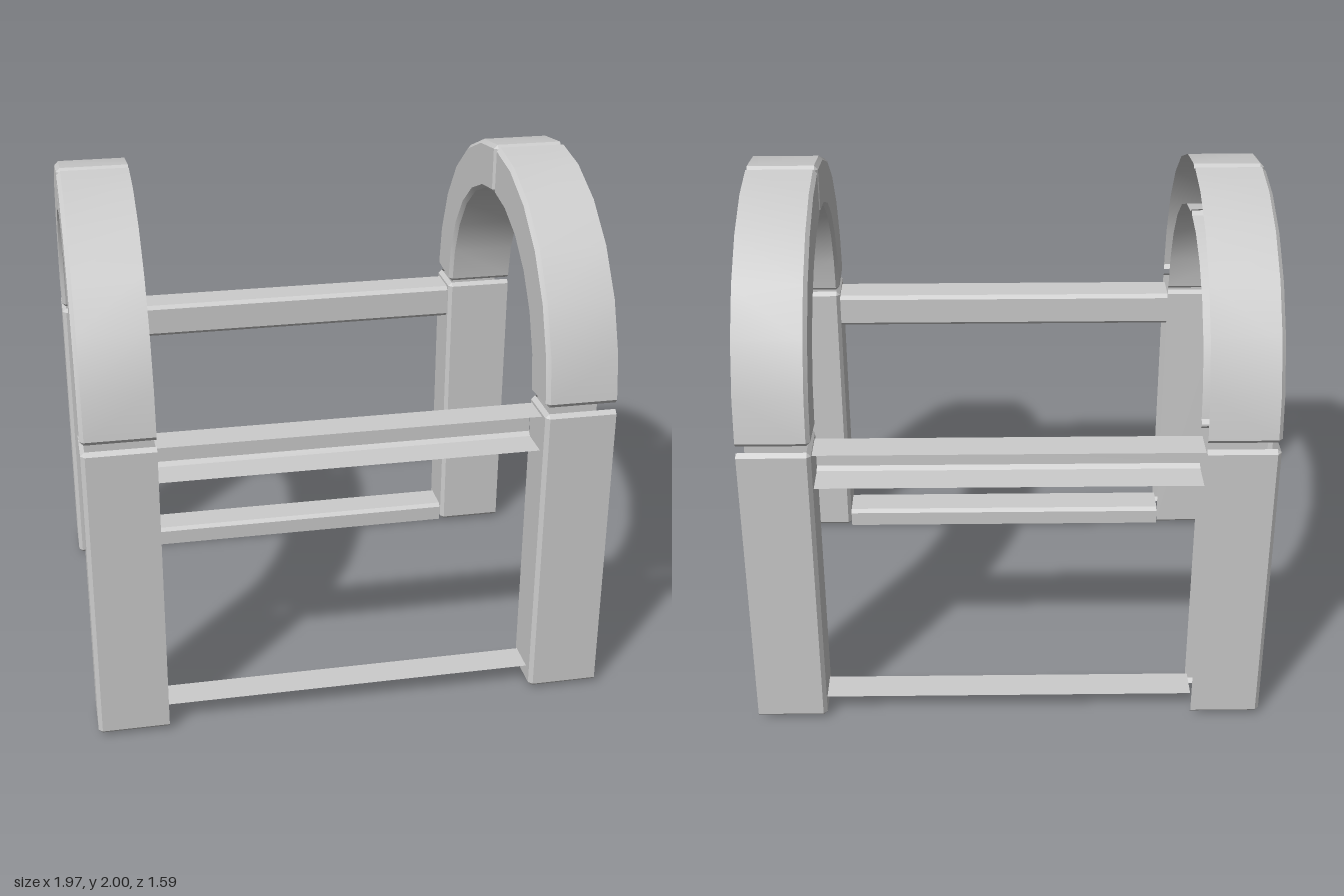
import * as THREE from 'three';
import { toCreasedNormals } from 'three/addons/utils/BufferGeometryUtils.js';

const BEVEL = 0.015;
const R_OUT = 0.79, R_IN = 0.595, ARCH_Y = 1.21;
const X_WEB = -0.135, X_OPEN = 0.135;

const material = new THREE.MeshStandardMaterial({ color: 0xcccccc, side: THREE.DoubleSide });

// Skin a row of open cross-sections, each a list of [x, y, z]
function skin(rows, name) {
  const n = rows[0].length, index = [];
  for (let i = 0; i < rows.length - 1; i++) {
    for (let j = 0; j < n - 1; j++) {
      const a = i * n + j, b = a + n;
      index.push(a, b, a + 1, a + 1, b, b + 1);
    }
  }
  const g = new THREE.BufferGeometry();
  g.setAttribute('position', new THREE.Float32BufferAttribute(rows.flat(2), 3));
  g.setIndex(index);
  const mesh = new THREE.Mesh(toCreasedNormals(g, 0.5), material);
  mesh.name = name;
  return mesh;
}

// U-shaped section between an outer and an inner [y, z] point;
// at a lip the whole section is drawn in by the bevel
function uSection(outer, inner, lip) {
  const w = Math.hypot(outer[0] - inner[0], outer[1] - inner[1]);
  const at = (x, d) => {
    const t = d / w;
    return [x, outer[0] + (inner[0] - outer[0]) * t, outer[1] + (inner[1] - outer[1]) * t];
  };
  const edge = lip ? BEVEL : 0;
  const web = lip ? X_WEB + BEVEL : X_WEB;
  return [
    at(X_OPEN, edge), at(X_WEB + BEVEL, edge), at(web, BEVEL),
    at(web, w - BEVEL), at(X_WEB + BEVEL, w - edge), at(X_OPEN, w - edge),
  ];
}

function post(side) {
  const rows = [[0.01, true], [0.01 + BEVEL, false], [1.205 - BEVEL, false], [1.205, true]]
    .map(([y, lip]) => uSection([y, 0.795 * side], [y, 0.593 * side], lip));
  return skin(rows, side > 0 ? 'frontPost' : 'backPost');
}

// Quarter ring from the post to the crown
function archHalf(side) {
  const polar = (r, deg) => {
    const a = THREE.MathUtils.degToRad(deg);
    return [ARCH_Y + r * Math.sin(a), side * r * Math.cos(a)];
  };
  const stations = [[1.5, 0.3, true], [2.6, 1.75, false]];
  for (let d = 15; d <= 75; d += 15) stations.push([d, d, false]);
  stations.push([88.5, 88.1, false], [89.6, 89.5, true]);
  const rows = stations.map(([o, i, lip]) => uSection(polar(R_OUT, o), polar(R_IN, i), lip));
  return skin(rows, side > 0 ? 'frontArchHalf' : 'backArchHalf');
}

// Horizontal rail: web towards the middle, flanges outwards
function rail(name, side, y0, y1, bottomFlange) {
  const zWeb = side > 0 ? 0.605 : 0.62, zEdge = zWeb + 0.14;
  const profile = [[y1, zEdge], [y1, zWeb + BEVEL], [y1 - BEVEL, zWeb]];
  if (bottomFlange) profile.push([y0 + BEVEL, zWeb], [y0, zWeb + BEVEL], [y0, zEdge]);
  else profile.push([y0, zWeb]);
  return skin([-0.717, 0.715].map(x => profile.map(([y, z]) => [x, y, z * side])), name);
}

export function createModel() {
  const model = new THREE.Group();
  model.name = 'archedFrame';

  // Two identical arches, both open towards +x
  for (const [x, name] of [[-0.851, 'rightArch'], [0.85, 'leftArch']]) {
    const arch = new THREE.Group();
    arch.name = name;
    for (const side of [1, -1]) arch.add(post(side), archHalf(side));
    arch.position.x = x;
    model.add(arch);
  }

  // Rails joining the arches at front and back
  for (const [side, name] of [[1, 'front'], [-1, 'back']]) {
    model.add(rail(name + 'UpperRail', side, 1.04, 1.18, true));
    model.add(rail(name + 'LowerRail', side, 0, 0.08, false));
  }
  return model;
}
